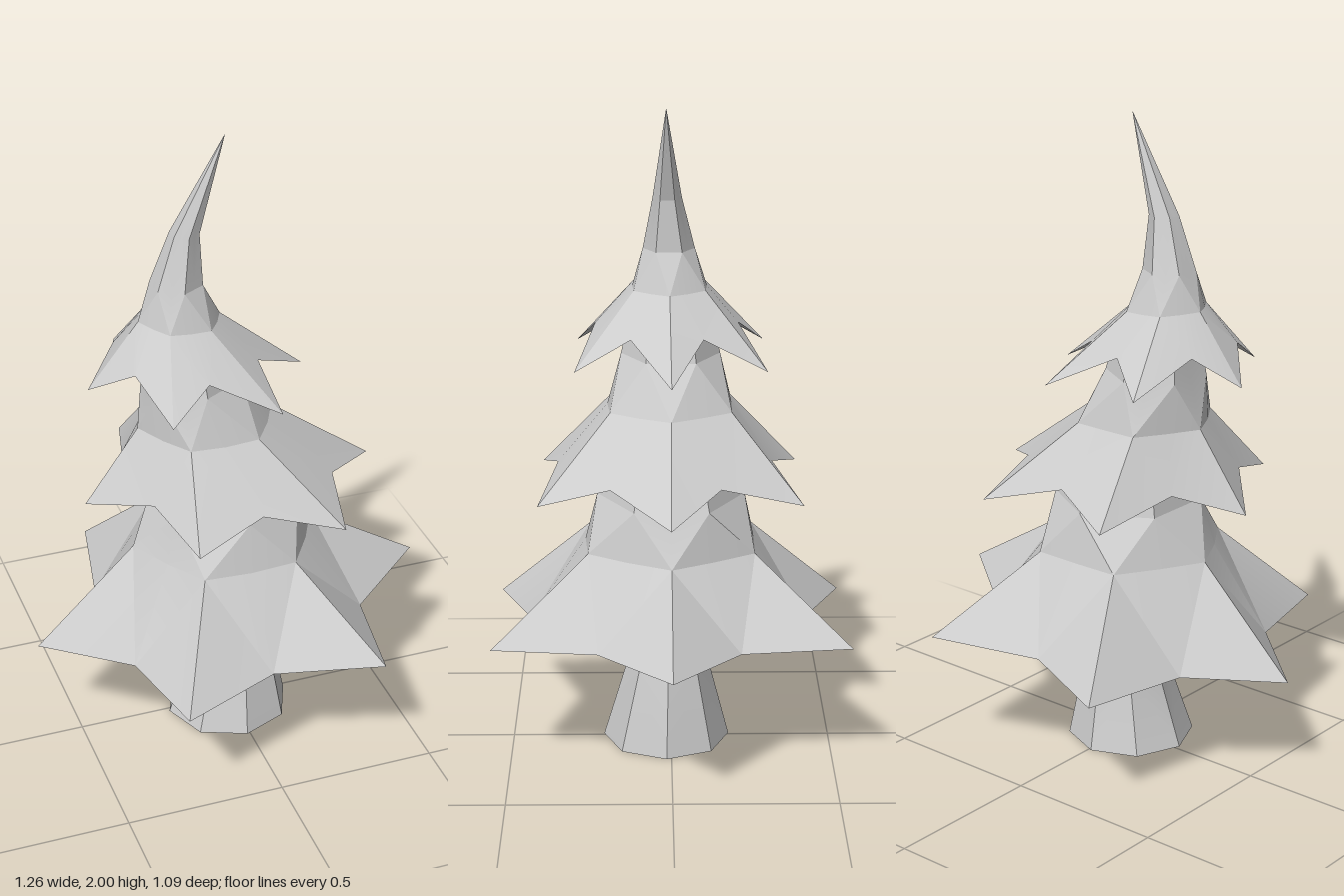
import * as THREE from 'three';
import { toCreasedNormals } from 'three/addons/utils/BufferGeometryUtils.js';

const material = new THREE.MeshStandardMaterial({ color: 0xcccccc });

// Skin a stack of rings, listed so that the outside faces out when going upwards.
// Even corners use x, z, r, y; odd corners (the notches) use xIn, zIn, rIn, yIn.
function loft(name, rings, sides, crease) {
  const pos = [];
  const point = (ring, k) => {
    const { x = 0, z = 0, r, y, xIn = x, zIn = z, rIn = r, yIn = y, tilt = 0 } = ring;
    const a = (k / sides) * Math.PI * 2;
    const [cx, cy, cz, radius] = k % 2 ? [xIn, yIn, zIn, rIn] : [x, y, z, r];
    const dx = radius * Math.cos(a);
    return [cx + dx, cy + tilt * dx, cz + radius * Math.sin(a)];
  };
  for (let i = 0; i < rings.length - 1; i++) {
    for (let k = 0; k < sides; k++) {
      const n = (k + 1) % sides;
      const a = point(rings[i], k), b = point(rings[i + 1], k);
      const c = point(rings[i + 1], n), d = point(rings[i], n);
      // mirror the diagonals; above a star ring they fan out from the notches
      const rising = (k % 2 === 0) !== Boolean(rings[i].star);
      const faces = rising ? [a, b, c, a, c, d] : [a, b, d, b, c, d];
      faces.forEach((p) => pos.push(...p));
    }
  }
  const geometry = new THREE.BufferGeometry();
  geometry.setAttribute('position', new THREE.Float32BufferAttribute(pos, 3));
  const mesh = new THREE.Mesh(toCreasedNormals(geometry, crease), material);
  mesh.name = name;
  return mesh;
}

export function createModel() {
  const tree = new THREE.Group();
  tree.name = 'bentPineTree';
  const e = 0.0005;
  const flat = Math.cos(Math.PI / 6);
  // Six-sided neck ring with its corners above the notches
  const neck = (x, z, r, y) => ({ x, z, r: r * flat, rIn: r, y });

  // Flared eight-sided trunk with a closed foot
  tree.add(loft('trunk', [
    { x: -0.01, z: 0.015, r: e, y: 0 },
    { x: -0.01, z: 0.015, r: 0.198, y: 0 },
    { x: 0.008, z: 0.01, r: 0.13, y: 0.25 },
    { x: -0.003, r: 0.1, y: 0.39 },
    { x: -0.005, r: 0.09, y: 0.52 },
  ], 8, 0.35));

  // Each tier: recessed underside, star-shaped skirt, shoulder, neck
  tree.add(loft('lowerBranches', [
    { r: e, y: 0.49 },
    { x: -0.01, r: 0.28, rIn: 0.28 * flat, y: 0.485, tilt: 0.05 },
    { star: true, r: 0.632, xIn: -0.01, zIn: 0.008, rIn: 0.432, y: 0.398, tilt: 0.07 },
    { x: -0.018, zIn: 0.004, r: 0.295, rIn: 0.262, y: 0.66 },
    neck(-0.01, 0, 0.228, 0.81),
    neck(-0.017, 0, 0.18, 0.96),
  ], 12, 0.25));

  tree.add(loft('middleBranches', [
    { x: -0.02, r: e, y: 0.95 },
    { x: -0.02, r: 0.2, rIn: 0.2 * flat, y: 0.945 },
    { star: true, z: 0.003, r: 0.462, xIn: -0.013, zIn: 0.018, rIn: 0.33, y: 0.847, yIn: 0.912 },
    { x: -0.075, zIn: 0.004, r: 0.215, rIn: 0.192, y: 1.08 },
    neck(-0.118, 0, 0.153, 1.23),
    neck(-0.13, 0, 0.122, 1.37),
  ], 12, 0.25));

  // Top tier runs out into a bent point
  tree.add(loft('topBranches', [
    { x: -0.13, r: e, y: 1.36 },
    { x: -0.13, r: 0.14, rIn: 0.14 * flat, y: 1.35 },
    { star: true, x: -0.102, r: 0.338, xIn: -0.14, zIn: 0.012, rIn: 0.22, y: 1.225, yIn: 1.322, tilt: -0.045 },
    { x: -0.155, z: 0.003, r: 0.127, rIn: 0.115, y: 1.435, tilt: -0.05 },
    neck(-0.163, 0.005, 0.08, 1.55),
    neck(-0.138, 0.01, 0.045, 1.71),
    { x: -0.015, z: 0.014, r: e, y: 2 },
  ], 12, 0.25));

  return tree;
}
